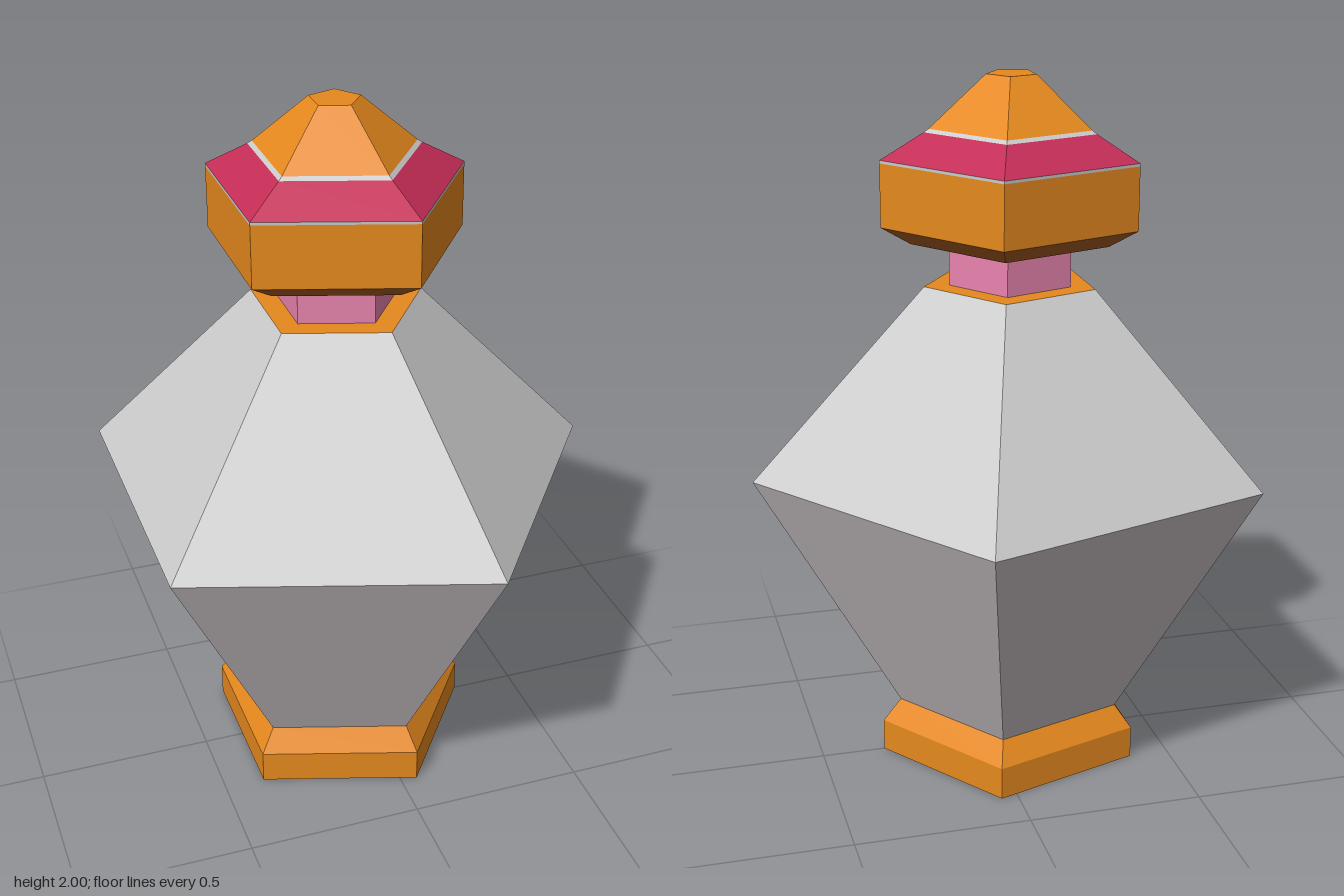
import * as THREE from 'three';

const AXIS_X = -0.0715; // a pentagon's axis sits off the middle of its bounds
const ORANGE = 0xe6891e, CRIMSON = 0xc42d56, PINK = 0xe884ae, GREY = 0xcccccc;

export function createModel() {
  const group = new THREE.Group();

  // Five-sided turned part from [radius, y] pairs, one corner towards +x
  const turned = (name, color, profile) => {
    const points = profile.map(([r, y]) => new THREE.Vector2(r, y));
    const geometry = new THREE.LatheGeometry(points, 5, Math.PI / 2);
    const material = new THREE.MeshStandardMaterial({ color, flatShading: true });
    const mesh = new THREE.Mesh(geometry, material);
    mesh.name = name;
    mesh.position.x = AXIS_X;
    group.add(mesh);
  };

  // Foot and glass body
  turned('foot', ORANGE, [[0, 0], [0.387, 0], [0.387, 0.095], [0.334, 0.16], [0, 0.16]]);
  turned('lowerBody', 0xccc4c6, [[0.334, 0.16], [0.746, 0.89]]);
  turned('upperBody', GREY, [[0.746, 0.89], [0.249, 1.422]]);
  turned('shoulderRim', ORANGE, [[0.249, 1.422], [0.177, 1.422]]);

  // Neck and stopper
  turned('neck', PINK, [[0.177, 1.422], [0.177, 1.52]]);
  turned('stopperUnderside', 0xa85c22, [[0.177, 1.52], [0.285, 1.545], [0.368, 1.595]]);
  turned('stopperBand', ORANGE, [[0.368, 1.595], [0.368, 1.772]]);
  turned('stopperTrim', GREY, [[0.368, 1.772], [0.368, 1.78]]);
  turned('stopperTop', CRIMSON, [[0.368, 1.78], [0.245, 1.85]]);

  // Finial
  turned('finialTrim', GREY, [[0.245, 1.85], [0.232, 1.859]]);
  turned('finial', ORANGE, [[0.232, 1.859], [0.072, 2], [0, 2]]);

  return group;
}
